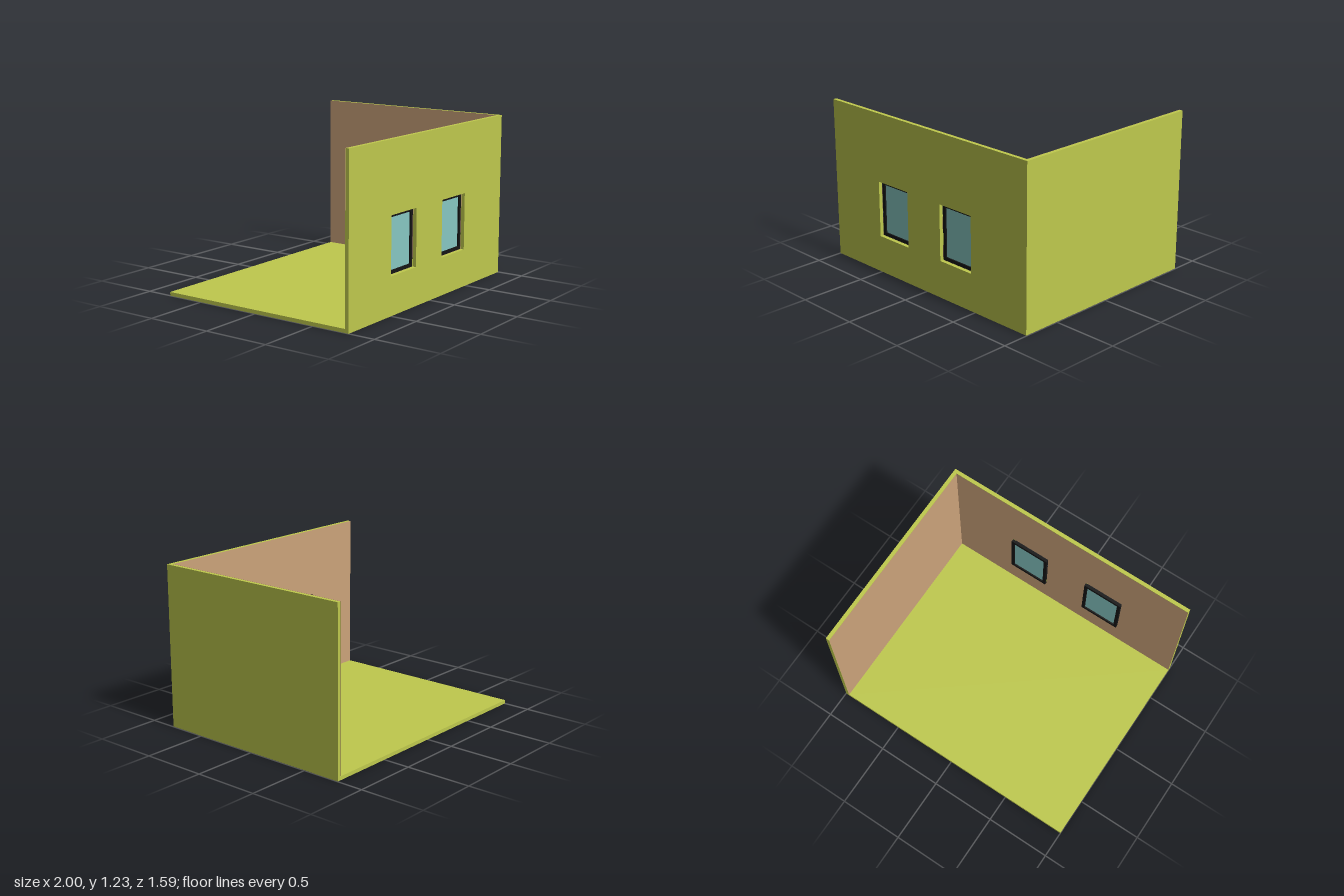
import * as THREE from 'three';

const material = (color, side = THREE.FrontSide) =>
  new THREE.MeshStandardMaterial({ color, side });

const WALL = 0xbfc94d, LINING = 0xcca37a, FRAME = 0x151515, GLASS = 0x87c8c3;

// Overall extents and thickness
const X = 1, Z = 0.795, TOP = 1.235, T = 0.028, BASE = 0.006;
const FLOOR = BASE + T;
const windowXs = [-0.346, 0.308];
const WIN = { w: 0.315, h: 0.425, y: 0.502, bar: 0.025 };

function rect(Type, x0, y0, x1, y1) {
  return new Type().moveTo(x0, y0).lineTo(x1, y0).lineTo(x1, y1).lineTo(x0, y1).closePath();
}

function centredRect(Type, cx, cy, w, h) {
  return rect(Type, cx - w / 2, cy - h / 2, cx + w / 2, cy + h / 2);
}

// Wall outline with both window openings
function frontOutline(x0, y0, x1, y1) {
  const shape = rect(THREE.Shape, x0, y0, x1, y1);
  for (const x of windowXs) shape.holes.push(centredRect(THREE.Path, x, WIN.y, WIN.w, WIN.h));
  return shape;
}

function add(parent, name, geometry, mat, x = 0, y = 0, z = 0) {
  const mesh = new THREE.Mesh(geometry, mat);
  mesh.name = name;
  mesh.position.set(x, y, z);
  parent.add(mesh);
  return mesh;
}

function createWindow(x) {
  const group = new THREE.Group();
  group.name = 'window';
  const shape = centredRect(THREE.Shape, 0, 0, WIN.w, WIN.h);
  const w = WIN.w - 2 * WIN.bar, h = WIN.h - 2 * WIN.bar;
  shape.holes.push(centredRect(THREE.Path, 0, 0, w, h));
  const frame = new THREE.ExtrudeGeometry(shape, { depth: 0.022, bevelEnabled: false });
  add(group, 'windowFrame', frame, material(FRAME), 0, 0, -0.011);
  add(group, 'windowPane', new THREE.PlaneGeometry(w, h), material(GLASS, THREE.DoubleSide));
  group.position.set(x, WIN.y, 0.752);
  return group;
}

export function createModel() {
  const model = new THREE.Group();
  model.name = 'roomCorner';
  const wallMat = material(WALL);
  const liningMat = material(LINING, THREE.DoubleSide);
  const right = X - 0.004;

  // Floor slab
  add(model, 'floor', new THREE.BoxGeometry(X + right - T, T, 2 * Z - T), wallMat,
    (right - T - X) / 2, BASE + T / 2, -T / 2);

  // Front wall, pierced by the windows
  add(model, 'frontWall', new THREE.ExtrudeGeometry(frontOutline(-X, BASE, right, TOP),
    { depth: T, bevelEnabled: false }), wallMat, 0, 0, Z - T);

  // Side wall
  const sideH = TOP - BASE, sideD = 2 * Z - T;
  add(model, 'sideWall', new THREE.BoxGeometry(T, sideH, sideD), wallMat,
    right - T / 2, BASE + sideH / 2, -T / 2);

  // Painted inner faces
  add(model, 'frontWallLining', new THREE.ShapeGeometry(
    frontOutline(-X, FLOOR, right - T, TOP)), liningMat, 0, 0, Z - T - 0.002);
  const sideLining = add(model, 'sideWallLining',
    new THREE.PlaneGeometry(sideD, TOP - FLOOR), liningMat,
    right - T - 0.002, (TOP + FLOOR) / 2, -T / 2);
  sideLining.rotation.y = -Math.PI / 2;

  // Windows set at the inner edge of the openings
  for (const x of windowXs) model.add(createWindow(x));

  return model;
}
